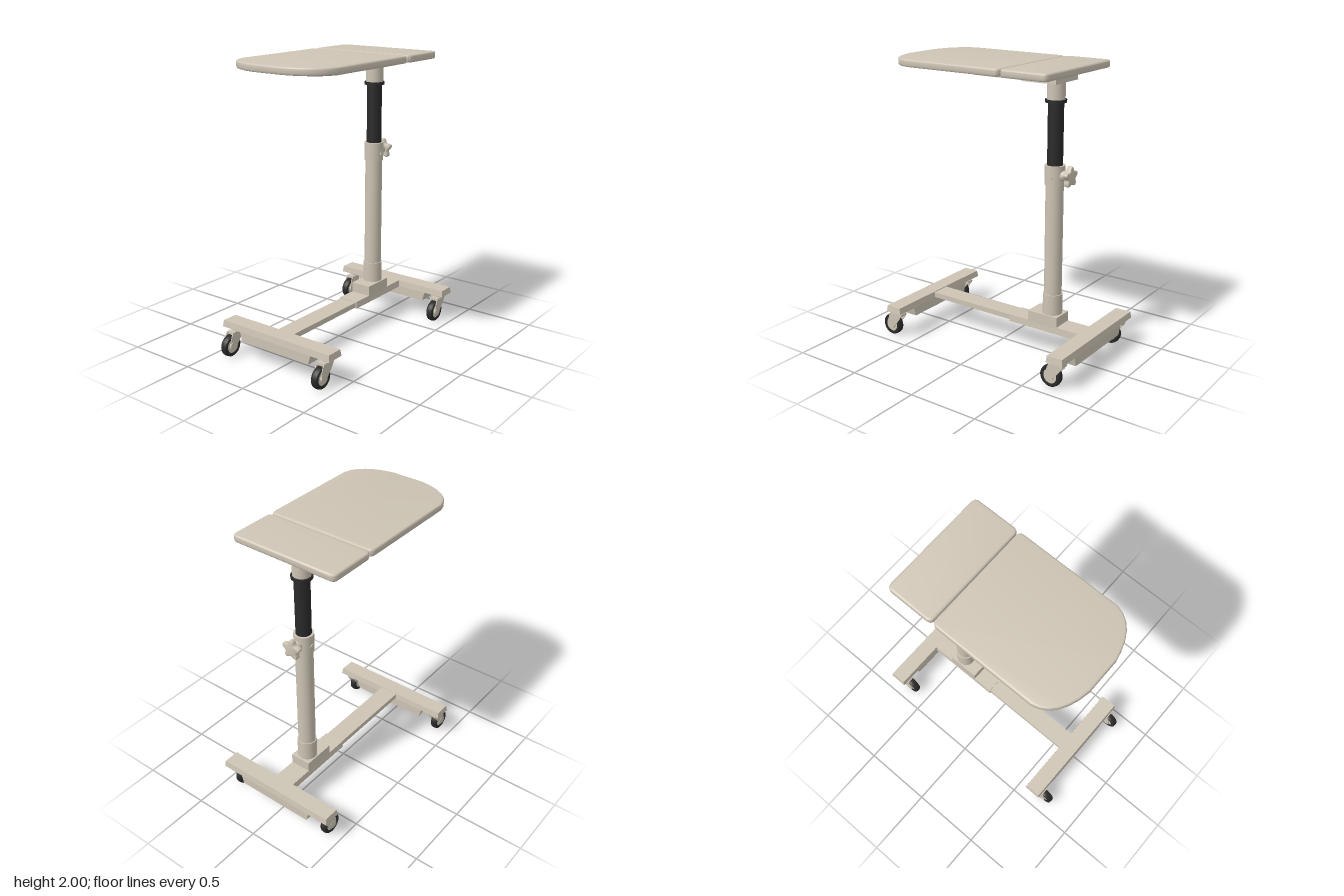
import * as THREE from 'three';
import { toCreasedNormals } from 'three/addons/utils/BufferGeometryUtils.js';

export function createModel() {
  const beige = new THREE.MeshStandardMaterial({ color: 0xcdc4b4 });
  beige.name = 'beige';
  const black = new THREE.MeshStandardMaterial({ color: 0x2a2a2a });
  black.name = 'black';
  const root = new THREE.Group();
  const POST_Z = -0.41;

  function add(name, geo, mat, x = 0, y = 0, z = 0, parent = root) {
    const m = new THREE.Mesh(geo, mat);
    m.name = name;
    m.position.set(x, y, z);
    parent.add(m);
    return m;
  }
  // Box given by its limits; the sides lean in by `inset` towards the top
  function block(name, hx, y0, y1, z0, z1, inset = 0) {
    const g = new THREE.BoxGeometry(hx * 2, y1 - y0, z1 - z0);
    const p = g.attributes.position;
    for (let i = 0; i < p.count; i++) {
      if (p.getY(i) > 0) {
        p.setX(i, p.getX(i) - Math.sign(p.getX(i)) * inset);
        p.setZ(i, p.getZ(i) - Math.sign(p.getZ(i)) * inset);
      }
    }
    g.computeVertexNormals();
    return add(name, g, beige, 0, (y0 + y1) / 2, (z0 + z1) / 2);
  }
  function tube(name, r, y0, y1, mat) {
    return add(name, new THREE.CylinderGeometry(r, r, y1 - y0, 32), mat, 0, (y0 + y1) / 2, POST_Z);
  }

  // Table panels: outline in x and -z, extruded upwards with soft edges
  function panel(name, shape) {
    const b = 0.012;
    let g = new THREE.ExtrudeGeometry(shape, {
      depth: 0.05 - 2 * b, bevelThickness: b, bevelSize: b, bevelOffset: -b, bevelSegments: 3, curveSegments: 6,
    });
    g.rotateX(-Math.PI / 2);
    g = toCreasedNormals(g, 0.7);
    add(name, g, beige, 0, 1.95 + b, 0);
  }
  const W = 0.392, R = 0.04;
  const front = new THREE.Shape();
  front.moveTo(-W + R, 0.234);
  front.lineTo(W - R, 0.234);
  front.quadraticCurveTo(W, 0.234, W, 0.234 - R);
  front.lineTo(W, -0.51);
  front.bezierCurveTo(W - 0.015, -0.62, 0.27, -0.69, 0.12, -0.713);
  front.lineTo(-0.12, -0.713);
  front.bezierCurveTo(-0.27, -0.69, -W + 0.015, -0.62, -W, -0.51);
  front.lineTo(-W, 0.234 - R);
  front.quadraticCurveTo(-W, 0.234, -W + R, 0.234);
  panel('frontTablePanel', front);

  const rear = new THREE.Shape();
  rear.moveTo(-W + R, 0.24);
  rear.lineTo(W - R, 0.24);
  rear.quadraticCurveTo(W, 0.24, W, 0.24 + R);
  rear.lineTo(W, 0.587 - R);
  rear.quadraticCurveTo(W, 0.587, W - R, 0.587);
  rear.lineTo(-W + R, 0.587);
  rear.quadraticCurveTo(-W, 0.587, -W, 0.587 - R);
  rear.lineTo(-W, 0.24 + R);
  rear.quadraticCurveTo(-W, 0.24, -W + R, 0.24);
  panel('rearTablePanel', rear);

  // Support plates under the table
  block('frontSupportPlate', 0.13, 1.9, 1.952, -0.226, 0.15);
  block('rearSupportPlate', 0.132, 1.895, 1.952, -0.49, -0.232, 0.004);

  // Telescopic post
  tube('postHead', 0.06, 1.775, 1.9, beige);
  tube('postRing', 0.07, 1.76, 1.78, black);
  tube('innerPost', 0.052, 1.34, 1.77, black);
  tube('clampCollar', 0.067, 1.22, 1.35, beige);
  tube('outerPost', 0.06, 0.44, 1.23, beige);
  tube('footCollar', 0.067, 0.3, 0.455, beige);
  const pin = new THREE.CylinderGeometry(0.016, 0.016, 0.142, 12);
  pin.rotateZ(Math.PI / 2);
  add('clampPin', pin, beige, 0, 1.27, POST_Z);

  // Star-shaped clamp knob at the back of the collar
  const knob = new THREE.Group();
  knob.name = 'clampKnob';
  knob.position.set(0, 1.285, 0);
  root.add(knob);
  const stem = new THREE.CylinderGeometry(0.034, 0.034, 0.05, 20);
  stem.rotateX(Math.PI / 2);
  add('knobStem', stem, beige, 0, 0, -0.492, knob);
  const star = new THREE.Shape();
  for (let i = 0; i < 50; i++) {
    const a = (i / 50) * Math.PI * 2;
    const r = 0.059 + 0.013 * Math.cos(5 * (a - Math.PI / 2));
    if (i) star.lineTo(r * Math.cos(a), r * Math.sin(a));
    else star.moveTo(r * Math.cos(a), r * Math.sin(a));
  }
  const starGeo = new THREE.ExtrudeGeometry(star, {
    depth: 0.022, bevelThickness: 0.009, bevelSize: 0.009, bevelOffset: -0.009, bevelSegments: 2,
  });
  add('knobStar', toCreasedNormals(starGeo, 0.7), beige, 0, 0, -0.536, knob);

  // Base frame
  block('postFoot', 0.075, 0.235, 0.312, -0.49, -0.26);
  block('frontSpine', 0.068, 0.2, 0.237, -0.11, 0.6);
  block('rearSpine', 0.077, 0.193, 0.242, -0.68, -0.105, 0.003);
  const skirt = new THREE.Shape([[-0.305, 0.2], [-0.285, 0.13], [0.285, 0.13], [0.305, 0.2]]
    .map(([x, y]) => new THREE.Vector2(x, y)));
  for (const [end, z0, z1] of [['front', 0.575, 0.7], ['rear', -0.777, -0.652]]) {
    block(end + 'CrossBar', 0.459, 0.197, 0.242, z0, z1, 0.006);
    const g = new THREE.ExtrudeGeometry(skirt, { depth: z1 - z0 - 0.008, bevelEnabled: false });
    add(end + 'BarSkirt', g, beige, 0, 0, z0 + 0.004);
  }

  // Casters
  const tyreProfile = [[0.05, -0.022], [0.066, -0.025], [0.074, -0.018], [0.077, 0],
    [0.074, 0.018], [0.066, 0.025], [0.05, 0.022], [0.05, -0.022]]
    .map(([r, y]) => new THREE.Vector2(r, y));
  const tyre = new THREE.LatheGeometry(tyreProfile, 28);
  const hub = new THREE.CylinderGeometry(0.051, 0.051, 0.036, 28);
  const axle = new THREE.CylinderGeometry(0.03, 0.03, 0.064, 20);
  for (const g of [tyre, hub, axle]) g.rotateZ(Math.PI / 2);
  const swivel = new THREE.CylinderGeometry(0.03, 0.03, 0.04, 20);
  // Fork arm seen from the side: swept from the swivel to the axle
  const arm = new THREE.Shape();
  arm.moveTo(-0.022, -0.012);
  arm.quadraticCurveTo(0.005, -0.035, 0.024, -0.01);
  arm.quadraticCurveTo(0.032, 0.045, 0.005, 0.092);
  arm.lineTo(-0.1, 0.092);
  arm.quadraticCurveTo(-0.08, 0.05, -0.022, -0.012);
  const armGeo = new THREE.ExtrudeGeometry(arm, { depth: 0.006, bevelEnabled: false, curveSegments: 6 });
  armGeo.rotateY(-Math.PI / 2);
  for (const [end, z] of [['front', 0.7], ['rear', -0.655]]) {
    for (const side of [-1, 1]) {
      const c = new THREE.Group();
      c.name = end + (side > 0 ? 'Left' : 'Right') + 'Caster';
      c.position.set(side * 0.39, 0.077, z);
      root.add(c);
      add('tyre', tyre, black, 0, 0, 0, c);
      add('hub', hub, beige, 0, 0, 0, c);
      add('axle', axle, beige, 0, 0, 0, c);
      add('forkArm', armGeo, beige, -0.025, 0, 0, c);
      add('forkArm', armGeo, beige, 0.031, 0, 0, c);
      add('forkCrown', new THREE.BoxGeometry(0.058, 0.016, 0.1), beige, 0, 0.088, -0.046, c);
      add('swivel', swivel, beige, 0, 0.105, -0.06, c);
    }
  }
  return root;
}
